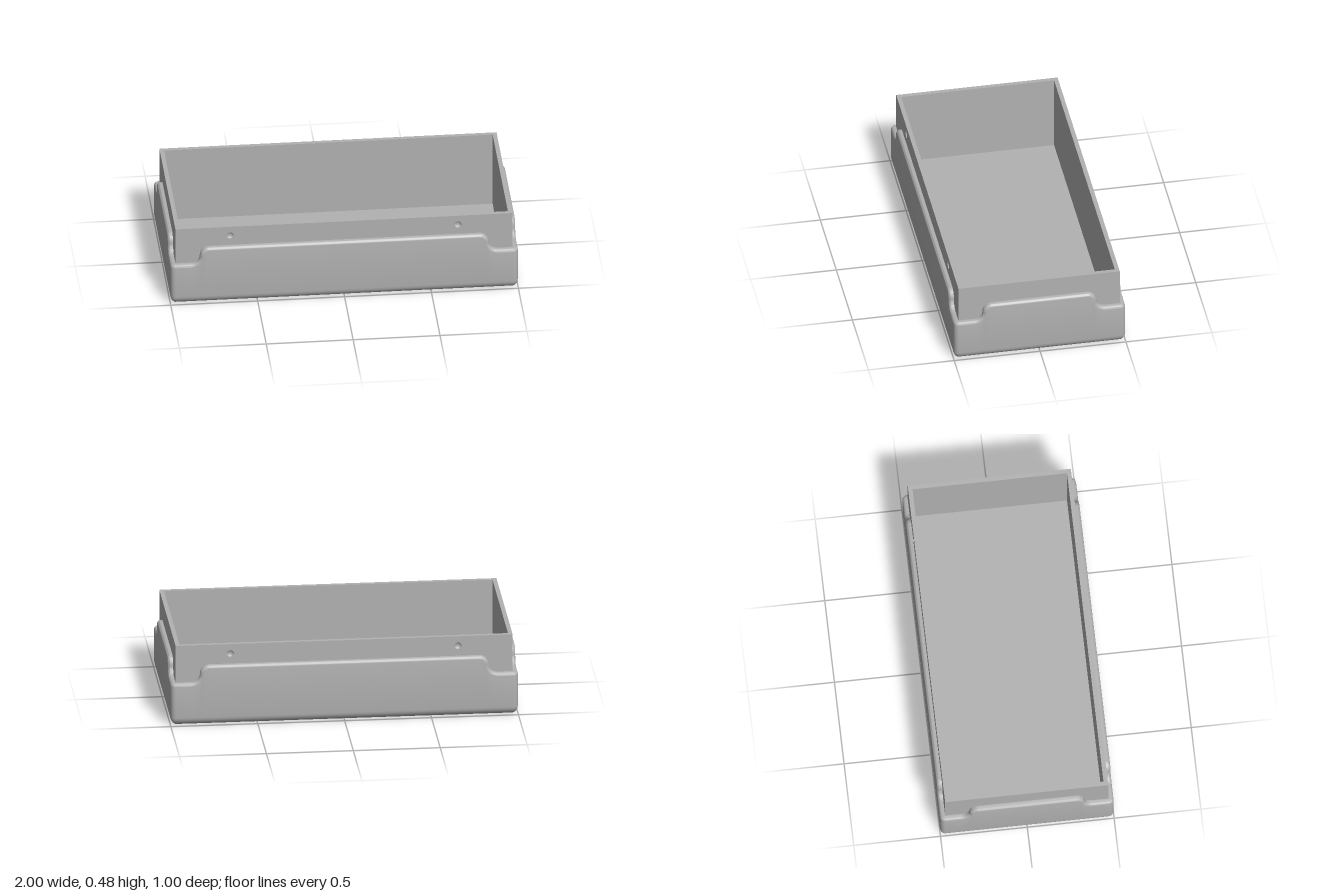
import * as THREE from 'three';
import { toCreasedNormals } from 'three/addons/utils/BufferGeometryUtils.js';

const CORE_X = 0.97, CORE_Z = 0.47, WRAP = 0.03; // liner half sizes and sleeve thickness
const LOW = 0.257, HIGH = 0.362, TOP = 0.48, WALL = 0.025;
const BOTTOM_R = 0.05, RIM_R = 0.018;

// Half of a wall's rim: u = distance from the corner, y = height, nu/ny = direction out of the rim
function rimHalf() {
  const r = (HIGH - LOW) / 4 * 2, mid = (LOW + HIGH) / 2, uMid = 0.17, n = 8;
  const pts = [{ u: WRAP, y: LOW, nu: 0, ny: 1 }];
  for (let i = 0; i <= n; i++) {
    const a = -Math.PI / 2 + (i / n) * Math.PI / 2;
    pts.push({ u: uMid - r + r * Math.cos(a), y: mid + r * Math.sin(a), nu: -Math.cos(a), ny: -Math.sin(a) });
  }
  for (let i = 1; i <= n; i++) {
    const a = Math.PI - (i / n) * Math.PI / 2;
    pts.push({ u: uMid + r + r * Math.cos(a), y: mid + r * Math.sin(a), nu: Math.cos(a), ny: Math.sin(a) });
  }
  return pts;
}

// Columns around the sleeve: each wall with its stepped rim, then a rounded corner
function sleeveColumns() {
  const half = rimHalf(), cols = [];
  for (let w = 0; w < 4; w++) {
    const a = w * Math.PI / 2;
    const L = w % 2 ? CORE_Z : CORE_X, D = w % 2 ? CORE_X : CORE_Z;
    const wall = [
      ...half.map(p => ({ s: p.u - WRAP - L, y: p.y, ns: p.nu, ny: p.ny })),
      ...half.slice().reverse().map(p => ({ s: L + WRAP - p.u, y: p.y, ns: -p.nu, ny: p.ny })),
    ];
    for (const p of wall) cols.push({ ...p, a, turn: a, D });
    for (let i = 1; i < 6; i++) {
      cols.push({ s: L, y: LOW, ns: 0, ny: 1, a, turn: a + (i / 6) * Math.PI / 2, D });
    }
  }
  return cols;
}

function sleevePoint(c, shift, y, inset) {
  const s = c.s - c.ns * shift, e = Math.max(0, inset - WRAP), out = Math.max(0, WRAP - inset);
  const x = Math.sin(c.a) * c.D + Math.cos(c.a) * s;
  const z = Math.cos(c.a) * c.D - Math.sin(c.a) * s;
  return [
    THREE.MathUtils.clamp(x, e - CORE_X, CORE_X - e) + Math.sin(c.turn) * out,
    y,
    THREE.MathUtils.clamp(z, e - CORE_Z, CORE_Z - e) + Math.cos(c.turn) * out,
  ];
}

function sleeveGeometry() {
  const cols = sleeveColumns(), pos = [], index = [], n = 7, rows = 2 * n + 1;
  for (const c of cols) {
    // rounded bottom edge
    for (let k = 0; k < n; k++) {
      const t = (k / (n - 1)) * Math.PI / 2;
      pos.push(...sleevePoint(c, 0, BOTTOM_R * (1 - Math.cos(t)), BOTTOM_R * (1 - Math.sin(t))));
    }
    // rounded rim, then flat to the liner
    for (let k = 0; k < n; k++) {
      const t = (k / (n - 1)) * Math.PI / 2, d = RIM_R * (1 - Math.sin(t));
      pos.push(...sleevePoint(c, d, c.y - c.ny * d, RIM_R * (1 - Math.cos(t))));
    }
    pos.push(...sleevePoint(c, 0, c.y, WRAP));
  }
  const centre = pos.length / 3;
  pos.push(0, 0, 0);
  for (let i = 0; i < cols.length; i++) {
    const a = i * rows, b = ((i + 1) % cols.length) * rows;
    for (let k = 0; k < rows - 1; k++) {
      index.push(a + k, b + k, b + k + 1, a + k, b + k + 1, a + k + 1);
    }
    index.push(centre, b, a);
  }
  const g = new THREE.BufferGeometry();
  g.setAttribute('position', new THREE.Float32BufferAttribute(pos, 3));
  g.setIndex(index);
  return toCreasedNormals(g, 0.6);
}

export function createModel() {
  const model = new THREE.Group();
  model.name = 'tray';
  const grey = new THREE.MeshStandardMaterial({ color: 0xb2b2b2, side: THREE.DoubleSide });
  grey.name = 'grey';

  const add = (parent, name, geometry, x, y, z) => {
    const mesh = new THREE.Mesh(geometry, grey);
    mesh.name = name;
    mesh.position.set(x, y, z);
    parent.add(mesh);
    return mesh;
  };

  add(model, 'sleeve', sleeveGeometry(), 0, 0, 0);

  // Liner floor and short walls
  const base = 0.01, h = TOP - base, yMid = base + h / 2;
  add(model, 'floor', new THREE.BoxGeometry(2 * CORE_X - 0.02, 0.015, 2 * CORE_Z - 0.02), 0, 0.0175, 0);
  for (const side of [-1, 1]) {
    add(model, side > 0 ? 'leftWall' : 'rightWall',
      new THREE.BoxGeometry(WALL, h, 2 * (CORE_Z - WALL)), side * (CORE_X - WALL / 2), yMid, 0);
  }

  // Long walls: a pierced outer skin over a solid inner layer, with round dimples
  const skin = 0.0125, holeR = 0.02, holeX = 0.655, holeY = 0.422, skinBase = 0.05;
  const shape = new THREE.Shape();
  shape.moveTo(-CORE_X, skinBase).lineTo(CORE_X, skinBase).lineTo(CORE_X, TOP).lineTo(-CORE_X, TOP).closePath();
  for (const s of [-1, 1]) {
    shape.holes.push(new THREE.Path().absarc(s * holeX, holeY, holeR, 0, Math.PI * 2, true));
  }
  const skinGeometry = new THREE.ExtrudeGeometry(shape, { depth: skin, bevelEnabled: false, curveSegments: 16 });
  const bowl = new THREE.SphereGeometry(holeR, 24, 8, 0, Math.PI * 2, Math.PI / 2, Math.PI / 2);
  bowl.rotateX(Math.PI / 2).scale(1, 1, 0.6);
  for (const back of [false, true]) {
    const wall = new THREE.Group();
    wall.name = back ? 'backWall' : 'frontWall';
    wall.rotation.y = back ? Math.PI : 0;
    add(wall, 'outerSkin', skinGeometry, 0, 0, CORE_Z - skin);
    add(wall, 'innerLayer', new THREE.BoxGeometry(2 * CORE_X, h, WALL - skin), 0, yMid, CORE_Z - WALL + (WALL - skin) / 2);
    for (const s of [-1, 1]) add(wall, 'dimple', bowl, s * holeX, holeY, CORE_Z);
    model.add(wall);
  }
  return model;
}
